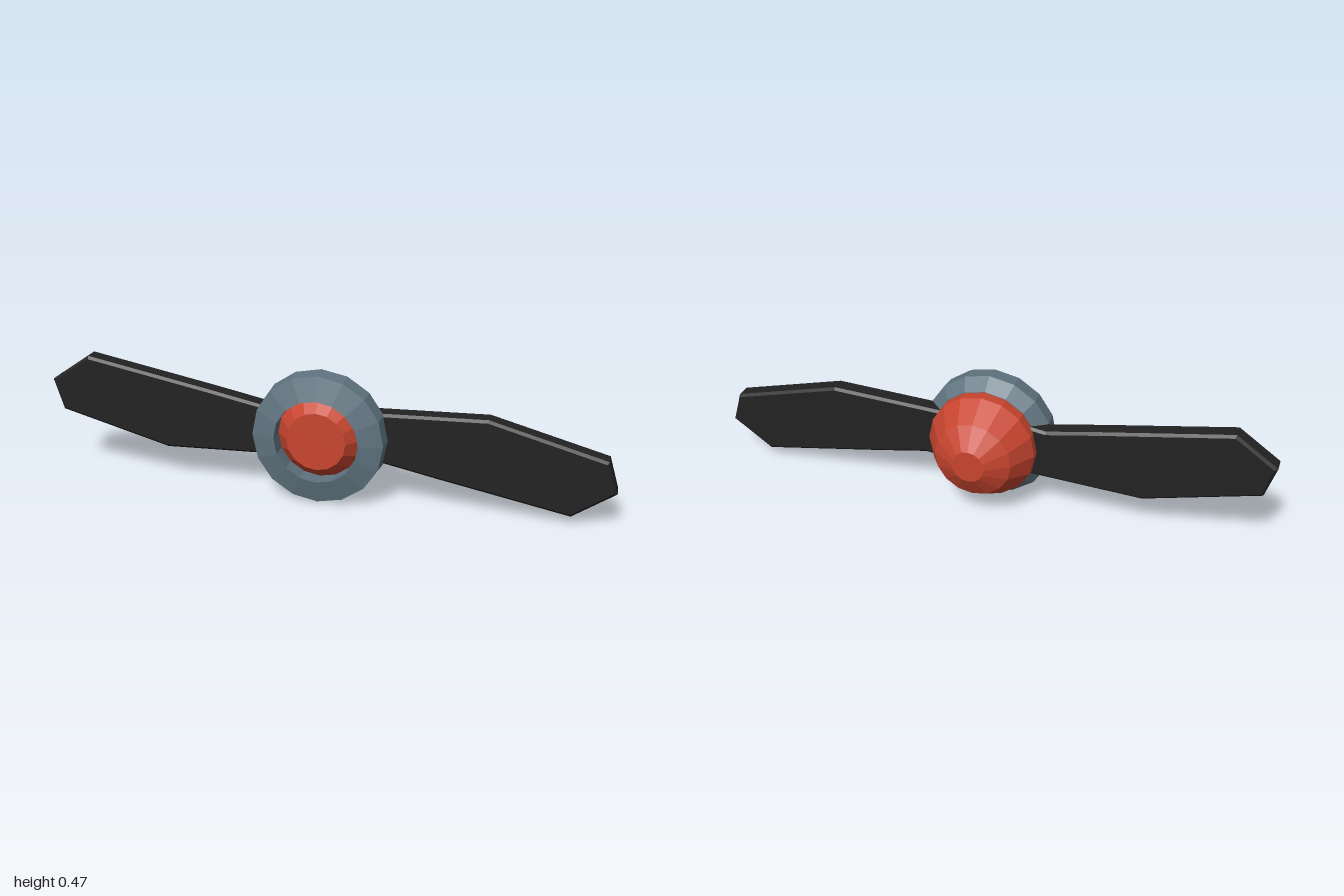
import * as THREE from 'three';

const SIDES = 16;
const CENTRE_Y = 0.235;

function material(name, color) {
  const m = new THREE.MeshStandardMaterial({ color, flatShading: true });
  m.name = name;
  return m;
}

// Faceted solid turned around the z axis from [radius, z] pairs
function turned(name, profile, mat) {
  const points = profile.map(([r, z]) => new THREE.Vector2(r, z));
  const mesh = new THREE.Mesh(new THREE.LatheGeometry(points, SIDES).rotateX(Math.PI / 2), mat);
  mesh.name = name;
  return mesh;
}

export function createModel() {
  const red = material('spinner red', 0xc8452f);
  const grey = material('steel grey', 0x607480);
  const black = material('blade black', 0x222222);

  const propeller = new THREE.Group();
  propeller.name = 'propeller';

  // Domed hub: long at the back, short cap showing through the collar
  propeller.add(turned('hub', [
    [0, -0.153], [0.058, -0.153], [0.137, -0.105], [0.193, -0.015],
    [0.193, 0.028], [0.143, 0.1], [0.103, 0.147], [0, 0.147],
  ], red));

  // Collar with an open front
  propeller.add(turned('collar', [
    [0.14, 0.025], [0.195, 0.025], [0.234, 0.07], [0.229, 0.13],
    [0.147, 0.153], [0.147, 0.09], [0.13, 0.09],
  ], grey));

  // Bevelled blade outline, relative to the hub centre
  const outline = [
    [0.08, -0.105], [0.22, -0.086], [0.406, -0.122], [0.854, -0.204], [0.997, -0.105],
    [0.963, 0.006], [0.567, 0.11], [0.22, 0.096], [0.08, 0.09],
  ];
  const bevel = 0.009;
  const bladeGeometry = new THREE.ExtrudeGeometry(
    new THREE.Shape(outline.map(([x, y]) => new THREE.Vector2(x, y))),
    {
      depth: 0.068 - 2 * bevel, bevelEnabled: true, bevelThickness: bevel,
      bevelSize: bevel, bevelOffset: -bevel, bevelSegments: 1,
    },
  ).translate(0, 0, 0.011 + bevel);

  // Two blades, half a turn apart
  ['leftBlade', 'rightBlade'].forEach((name, i) => {
    const blade = new THREE.Mesh(bladeGeometry, black);
    blade.name = name;
    blade.rotation.z = i * Math.PI;
    propeller.add(blade);
  });

  propeller.position.y = CENTRE_Y;
  const model = new THREE.Group();
  model.add(propeller);
  return model;
}
